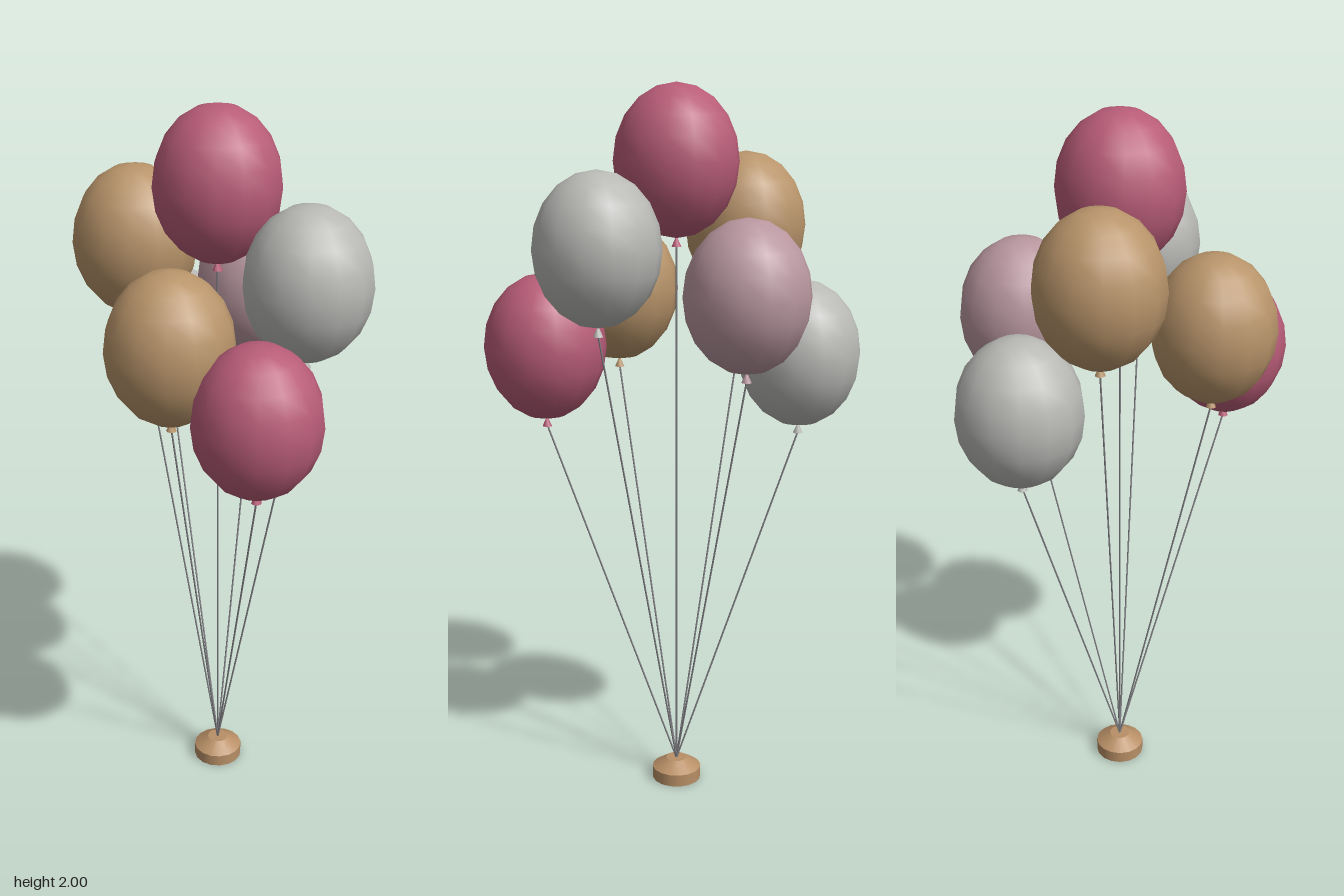
import * as THREE from 'three';

const material = (name, color) => {
  const m = new THREE.MeshStandardMaterial({ color });
  m.name = name;
  return m;
};

export function createModel() {
  const rose = material('rose', 0xb85c78);
  const gold = material('gold', 0xb8946a);
  const silver = material('silver', 0xb8b9b5);
  const blush = material('blush', 0xb8969f);
  const tan = material('tan', 0xb88f66);
  const cord = material('cord', 0x85858a);

  const model = new THREE.Group();
  model.name = 'balloonBunch';
  const add = (parent, name, geometry, mat) => {
    const mesh = new THREE.Mesh(geometry, mat);
    mesh.name = name;
    parent.add(mesh);
    return mesh;
  };

  // Weight: a short disc with a sloping cap
  const disc = add(model, 'weightDisc', new THREE.CylinderGeometry(0.071, 0.071, 0.035, 16), tan);
  disc.position.y = 0.0175;
  const cap = add(model, 'weightCap', new THREE.CylinderGeometry(0.03, 0.071, 0.026, 16), tan);
  cap.position.y = 0.048;

  // Shared balloon shapes
  const radius = 0.17, halfHeight = 0.204;
  const skin = new THREE.SphereGeometry(radius, 14, 10).scale(1, halfHeight / radius, 1);
  const knotShape = new THREE.ConeGeometry(0.014, 0.03, 8);
  const anchor = new THREE.Vector3(0, 0.058, 0);
  const up = new THREE.Vector3(0, 1, 0);

  // Balloon centres and colours
  const balloons = [
    [0, 1.796, 0, rose],
    [-0.25, 1.616, 0.045, gold],
    [0.262, 1.576, -0.045, silver],
    [-0.303, 1.276, -0.157, silver],
    [-0.07, 1.456, -0.25, blush],
    [0.05, 1.434, 0.245, gold],
    [0.302, 1.292, 0.205, rose],
  ];

  for (const [x, y, z, mat] of balloons) {
    const balloon = new THREE.Group();
    balloon.name = 'balloon';
    model.add(balloon);
    add(balloon, 'balloonSkin', skin, mat).position.set(x, y, z);
    add(balloon, 'knot', knotShape, mat).position.set(x, y - halfHeight - 0.008, z);

    // Straight string from the weight to the knot
    const end = new THREE.Vector3(x, y - halfHeight - 0.02, z);
    const span = end.clone().sub(anchor);
    const string = add(balloon, 'string', new THREE.CylinderGeometry(0.0025, 0.0025, span.length(), 6), cord);
    string.position.copy(anchor).addScaledVector(span, 0.5);
    string.quaternion.setFromUnitVectors(up, span.normalize());
  }

  return model;
}
